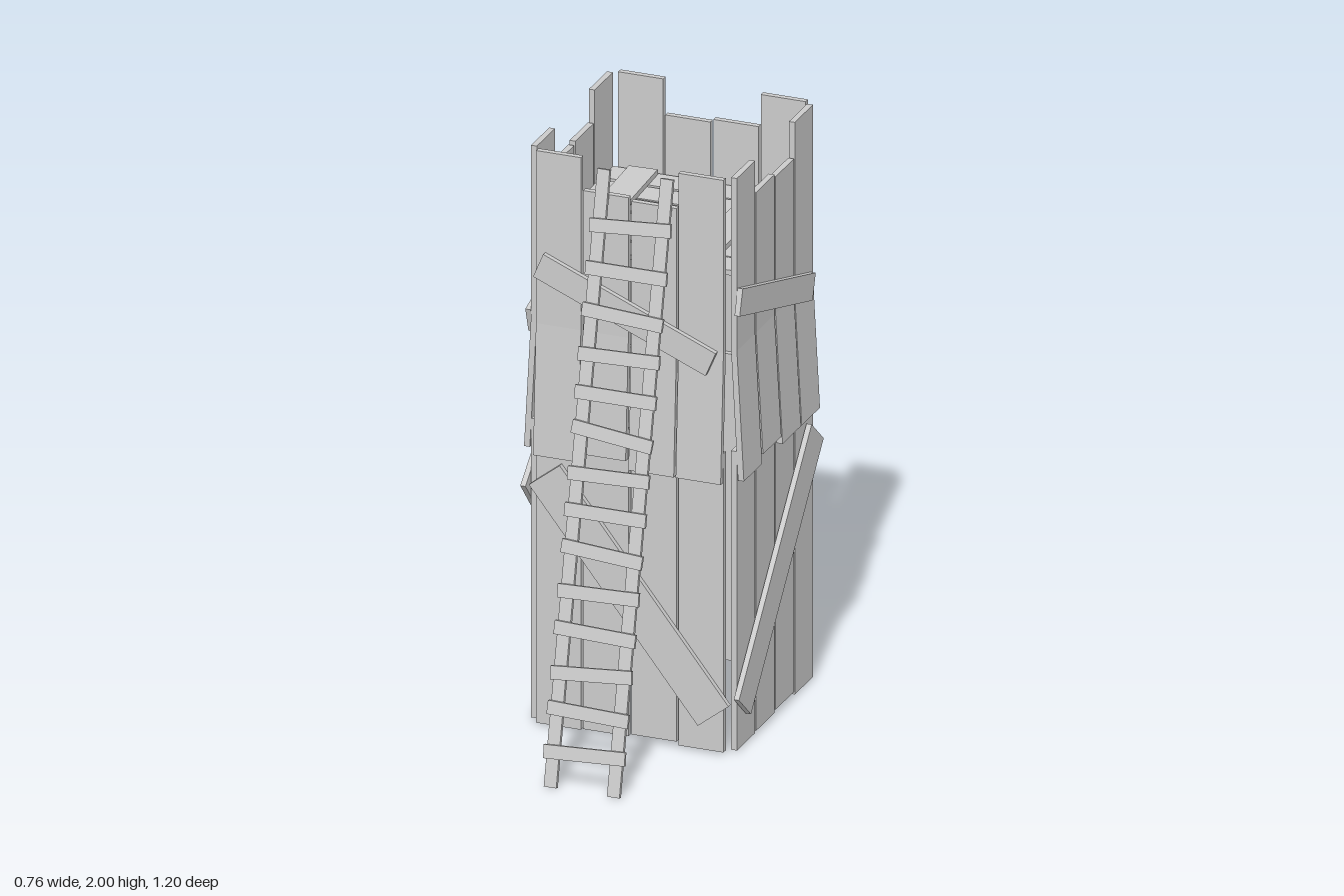
import * as THREE from 'three';

const material = new THREE.MeshStandardMaterial({ color: 0xcccccc, flatShading: true });

function addMesh(parent, name, geometry) {
  const mesh = new THREE.Mesh(geometry, material);
  mesh.name = name;
  parent.add(mesh);
  return mesh;
}

// Straight board between two points [x, y] of a vertical plane at depth z
function addBoard(parent, name, [x1, y1], [x2, y2], width, thickness, z) {
  const length = Math.hypot(x2 - x1, y2 - y1);
  const board = addMesh(parent, name, new THREE.BoxGeometry(length, width, thickness));
  board.position.set((x1 + x2) / 2, (y1 + y2) / 2, z);
  board.rotation.z = Math.atan2(y2 - y1, x2 - x1);
  return board;
}

// Upright plank; above the kink it is vertical, below it the foot flares outwards
const KINK = 1.4;
function addPlank(parent, name, [left, right], bottom, top, z, flare = 0) {
  const geometry = new THREE.BoxGeometry(right - left, top - bottom, 0.02, 1, flare ? 2 : 1, 1);
  geometry.translate((left + right) / 2, (top + bottom) / 2, z);
  const p = geometry.attributes.position;
  for (let i = 0; i < p.count; i++) {
    const y = p.getY(i);
    if (flare && Math.abs(y - bottom) < 1e-4) p.setZ(i, p.getZ(i) + flare);
    else if (flare && Math.abs(y - top) > 1e-4) p.setY(i, KINK);
  }
  geometry.computeVertexNormals();
  return addMesh(parent, name, geometry);
}

const WALL = 0.346;
const PLANKS = [
  { span: [-0.325, -0.17], foot: 0.01, lap: 0.95, top: 2 },
  { span: [-0.162, -0.006], foot: 0.014, lap: 0.98, top: 1.887 },
  { span: [0.004, 0.16], foot: 0.022, lap: 0.95, top: 1.876 },
  { span: [0.167, 0.322], foot: 0.01, lap: 0.95, top: 2 },
];

// Diagonal braces of each wall, seen from outside
const FALLING = [[-0.288, 0.885], [0.295, 0.14]];
const RISING = [[-0.308, 0.157], [0.31, 0.872]];
const WALLS = [
  { name: 'frontWall', upper: [[-0.31, 1.61], [0.285, 1.36]], lower: FALLING },
  { name: 'plusXWall', upper: [[-0.335, 1.575], [0.285, 1.385]], lower: RISING },
  { name: 'backWall', upper: [[-0.27, 1.36], [0.27, 1.69]], lower: FALLING },
  { name: 'minusXWall', upper: [[-0.31, 1.575], [0.31, 1.385]], lower: RISING },
];

function createTower() {
  const tower = new THREE.Group();
  tower.name = 'tower';
  tower.position.z = -0.22;

  WALLS.forEach(({ name, upper, lower }, i) => {
    const wall = new THREE.Group();
    wall.name = name;
    wall.rotation.y = (i * Math.PI) / 2;
    for (const { span, foot, lap, top } of PLANKS) {
      addPlank(wall, 'lowerPlank', span, foot, lap + 0.1, WALL);
      addPlank(wall, 'upperPlank', span, lap, top, WALL, 0.024);
    }
    addBoard(wall, 'upperBrace', ...upper, 0.09, 0.018, WALL + 0.02);
    addBoard(wall, 'lowerBrace', ...lower, 0.135, 0.018, WALL + 0.022);
    tower.add(wall);
  });

  // Lookout floor with two boards laid across it
  const floor = new THREE.Group();
  floor.name = 'floor';
  const tilts = [-0.012, 0.008, -0.015, 0.012, -0.01, 0.008];
  tilts.forEach((tilt, i) => {
    const board = addMesh(floor, 'floorBoard', new THREE.BoxGeometry(0.668, 0.018, 0.098));
    board.position.set(-0.003, 1.664, -0.275 + i * 0.109);
    board.rotation.y = tilt;
  });
  for (const [x, tilt] of [[-0.212, 0.047], [0.205, 0]]) {
    const board = addMesh(floor, 'crossBoard', new THREE.BoxGeometry(0.098, 0.018, 0.63));
    board.position.set(x, 1.682, 0);
    board.rotation.y = tilt;
  }
  tower.add(floor);
  return tower;
}

function createLadder() {
  const ladder = new THREE.Group();
  ladder.name = 'ladder';
  const rise = 1.97, run = 0.455;
  const length = Math.hypot(rise, run);
  ladder.position.set(0, 0.003, 0.589);
  ladder.rotation.x = -Math.atan2(run, rise);

  for (const x of [-0.09, 0.128]) {
    const rail = addMesh(ladder, 'rail', new THREE.BoxGeometry(0.043, length, 0.014));
    rail.position.set(x, length / 2, 0);
  }
  // Rungs: height above ground and slight tilt
  const rungs = [
    [0.12, 0.05], [0.25, -0.03], [0.375, 0.08], [0.505, -0.03], [0.63, 0.03],
    [0.76, -0.07], [0.885, 0], [1.005, 0.03], [1.135, -0.11], [1.26, 0],
    [1.385, 0.03], [1.515, -0.06], [1.655, 0], [1.8, 0.07],
  ];
  for (const [y, tilt] of rungs) {
    const rung = addMesh(ladder, 'rung', new THREE.BoxGeometry(0.28, 0.045, 0.012));
    rung.position.set(0.021, (y * length) / rise, 0.013);
    rung.rotation.z = tilt;
  }
  return ladder;
}

export function createModel() {
  const model = new THREE.Group();
  model.name = 'woodenWatchtower';
  model.add(createTower(), createLadder());
  return model;
}
